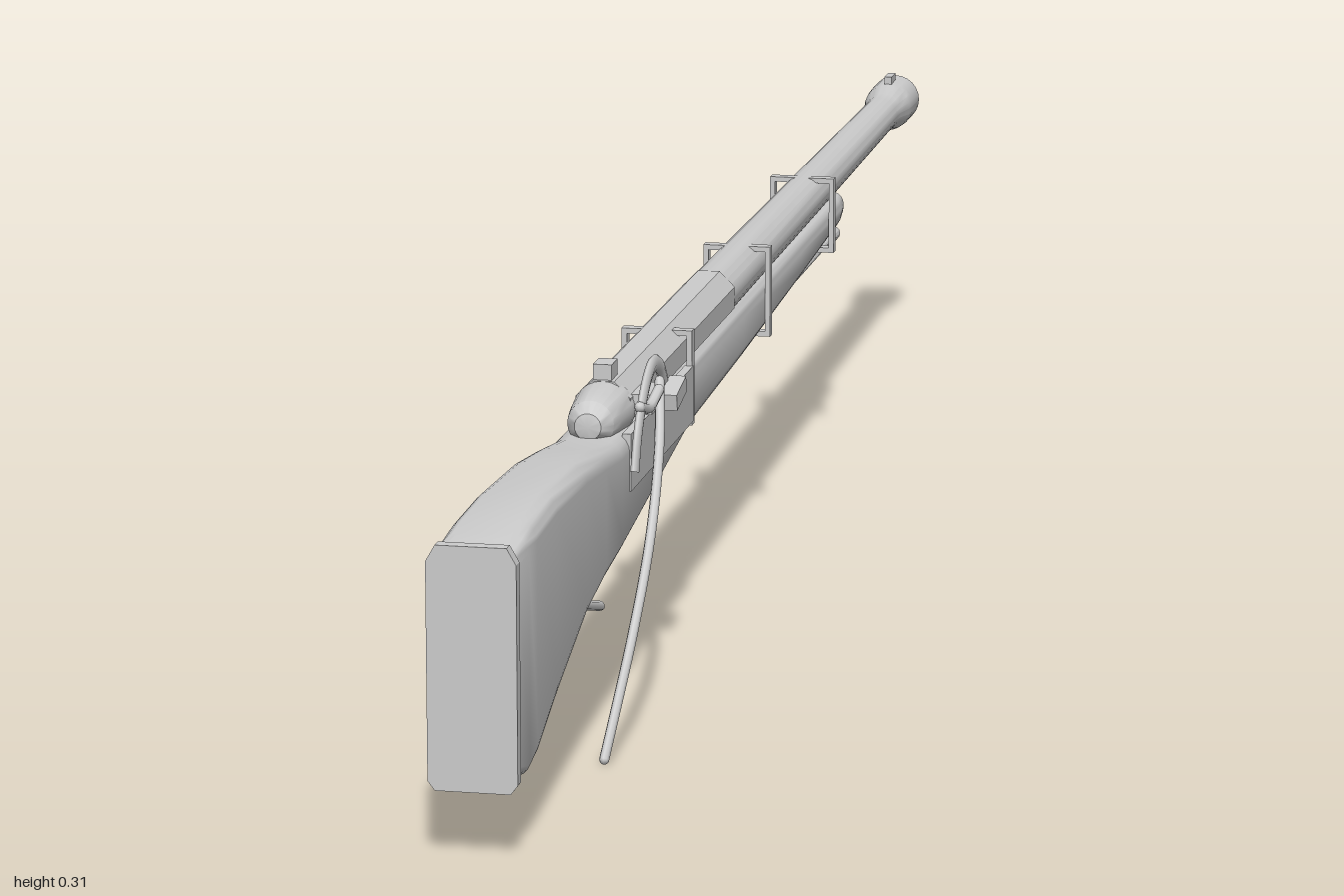
import * as THREE from 'three';
import { toCreasedNormals } from 'three/addons/utils/BufferGeometryUtils.js';

const CX = -0.012; // centre line of stock and barrel
const BY = 0.268; // barrel axis height
const grey = new THREE.MeshStandardMaterial({ name: 'plain grey', color: 0xcccccc });
const V = (x, y, z) => new THREE.Vector3(x, y, z);

export function createModel() {
  const group = new THREE.Group();
  const add = (name, geo) => {
    const m = new THREE.Mesh(geo, grey);
    m.name = name;
    group.add(m);
    return m;
  };
  const box = (name, x0, x1, y0, y1, z0, z1) => {
    const m = add(name, new THREE.BoxGeometry(x1 - x0, y1 - y0, z1 - z0));
    m.position.set((x0 + x1) / 2, (y0 + y1) / 2, (z0 + z1) / 2);
    return m;
  };
  // Lathe along the barrel axis; profile is [radius, z]
  const turned = (name, profile, y, sides = 24, crease = 0.5) => {
    const geo = new THREE.LatheGeometry(profile.map(([r, z]) => new THREE.Vector2(r, -z)), sides);
    if (sides === 8) geo.rotateY(Math.PI / 8);
    geo.rotateX(-Math.PI / 2);
    geo.translate(CX, y, 0);
    return add(name, toCreasedNormals(geo, crease));
  };
  // Closed-ended tube through points
  const rod = (name, pts, r, segs = 24) => {
    const curve = new THREE.CatmullRomCurve3(pts);
    add(name, new THREE.TubeGeometry(curve, segs, r, 8));
    [0, 1].forEach((t) => {
      const cap = add(name + 'End', new THREE.SphereGeometry(r, 8, 6));
      cap.position.copy(curve.getPoint(t));
    });
  };

  // Stock: rounded rectangles [z, bottom, top, half width, corner]
  const sections = [
    [0.99, 0.073, 0.263, 0.037, 0.01], [0.95, 0.063, 0.268, 0.037, 0.014], [0.92, 0.068, 0.272, 0.037, 0.015],
    [0.84, 0.096, 0.276, 0.036, 0.016], [0.72, 0.133, 0.273, 0.035, 0.017], [0.64, 0.145, 0.265, 0.034, 0.017],
    [0.57, 0.152, 0.256, 0.033, 0.016], [0.4, 0.174, 0.256, 0.031, 0.014], [0.25, 0.192, 0.256, 0.029, 0.014],
    [0, 0.199, 0.256, 0.028, 0.014], [-0.3, 0.211, 0.256, 0.027, 0.014], [-0.52, 0.222, 0.256, 0.027, 0.014],
    [-0.545, 0.227, 0.255, 0.025, 0.012], [-0.557, 0.236, 0.252, 0.019, 0.007],
  ];
  const N = 24; // points per section: four corners of six
  const pos = [], idx = [];
  sections.forEach(([z, b, t, w, c]) => {
    for (let k = 0; k < N; k++) {
      const q = Math.floor(k / 6);
      const a = (q + (k % 6) / 5) * Math.PI / 2;
      const sx = q === 0 || q === 3 ? 1 : -1, sy = q < 2 ? 1 : -1;
      pos.push(CX + sx * (w - c) + c * Math.cos(a), (b + t) / 2 + sy * ((t - b) / 2 - c) + c * Math.sin(a), z);
    }
  });
  for (let s = 0; s < sections.length - 1; s++)
    for (let k = 0; k < N; k++) {
      const a = s * N + k, b = s * N + (k + 1) % N;
      idx.push(a, a + N, b, b, a + N, b + N);
    }
  const last = (sections.length - 1) * N;
  for (let k = 1; k < N - 1; k++) idx.push(0, k, k + 1, last, last + k + 1, last + k);
  const stock = new THREE.BufferGeometry();
  stock.setAttribute('position', new THREE.Float32BufferAttribute(pos, 3));
  stock.setIndex(idx);
  add('stock', toCreasedNormals(stock, 0.7));

  // Butt plate, with chamfered corners
  const plate = new THREE.Shape();
  [[-0.05, 0.07], [-0.044, 0.062], [0.02, 0.062], [0.026, 0.07], [0.026, 0.256], [0.018, 0.27], [-0.042, 0.27], [-0.05, 0.256]]
    .forEach(([x, y], i) => (i ? plate.lineTo(x, y) : plate.moveTo(x, y)));
  const butt = new THREE.ExtrudeGeometry(plate, { depth: 0.012, bevelEnabled: false });
  butt.translate(0, 0, 0.988);
  add('buttPlate', butt);

  // Barrel with flared, hollow muzzle
  turned('barrel', [[0, 0.05], [0.025, 0.05], [0.024, -0.1], [0.022, -0.45], [0.019, -0.9], [0.02, -0.92], [0.025, -0.945],
    [0.026, -0.96], [0.026, -1], [0.015, -1], [0.015, -0.9], [0, -0.9]], BY);
  // Eight-sided breech and its tapered plug
  turned('breech', [[0, 0.5], [0.027, 0.5], [0.027, 0.03], [0, 0.03]], BY, 8, 0.3);
  turned('breechPlug', [[0, 0.565], [0.012, 0.562], [0.021, 0.55], [0.024, 0.53], [0.027, 0.5], [0.027, 0.49]], 0.266, 24);

  // Sights
  box('rearSight', -0.022, -0.005, 0.292, 0.307, 0.47, 0.495);
  box('frontSight', CX - 0.004, CX + 0.004, 0.288, 0.301, -0.975, -0.95);

  // Barrel bands: square straps round barrel and stock
  [[0.265, 0.2], [-0.11, 0.2], [-0.45, 0.212]].forEach(([z, bottom]) => {
    const band = new THREE.Group();
    band.name = 'barrelBand';
    const w = 0.033, t = 0.005, top = 0.289;
    const bar = (x, y, sx, sy) => {
      const m = new THREE.Mesh(new THREE.BoxGeometry(sx, sy, 0.011), grey);
      m.name = 'bandStrap';
      m.position.set(CX + x, y, z);
      band.add(m);
    };
    [-1, 1].forEach((s) => bar(s * (w - t / 2), (top + bottom) / 2, t, top - bottom));
    bar(0, top - t / 2, 2 * w, t);
    bar(0, bottom + t / 2, 2 * w, t);
    group.add(band);
  });

  // Ramrod with thicker tip
  turned('ramrod', [[0, 0.27], [0.005, 0.27], [0.005, -0.595], [0.0075, -0.605], [0.0075, -0.622], [0, -0.626]], 0.195, 12);

  // Lock plate, pan and nipple block
  box('lockPlate', 0.014, 0.022, 0.204, 0.256, 0.268, 0.54);
  box('pan', 0.008, 0.03, 0.262, 0.28, 0.44, 0.49);
  box('flintJaw', 0.034, 0.049, 0.266, 0.281, 0.43, 0.472).rotation.x = 0.2;

  // Hammer: flat curved arm
  const hammer = new THREE.TubeGeometry(new THREE.CatmullRomCurve3([
    V(0, 0.228, 0.567), V(0, 0.262, 0.552), V(0, 0.295, 0.522), V(0, 0.308, 0.492), V(0, 0.3, 0.462), V(0, 0.276, 0.437),
  ]), 28, 0.008, 8);
  hammer.scale(0.5, 1, 1);
  add('hammer', hammer).position.x = 0.031;
  rod('hammerSpur', [V(0.031, 0.282, 0.545), V(0.033, 0.275, 0.515), V(0.036, 0.285, 0.488)], 0.005, 10);

  // Long bent lever beside the stock
  rod('sideLever', [V(0.034, 0.29, 0.475), V(0.043, 0.24, 0.52), V(0.047, 0.17, 0.58), V(0.044, 0.1, 0.64),
    V(0.038, 0.05, 0.673), V(0.032, 0.006, 0.7)], 0.0045);
  // Trigger bar below the stock
  rod('triggerBar', [V(CX, 0.136, 0.68), V(CX, 0.115, 0.6), V(CX, 0.092, 0.516)], 0.0045, 10);

  return group;
}
